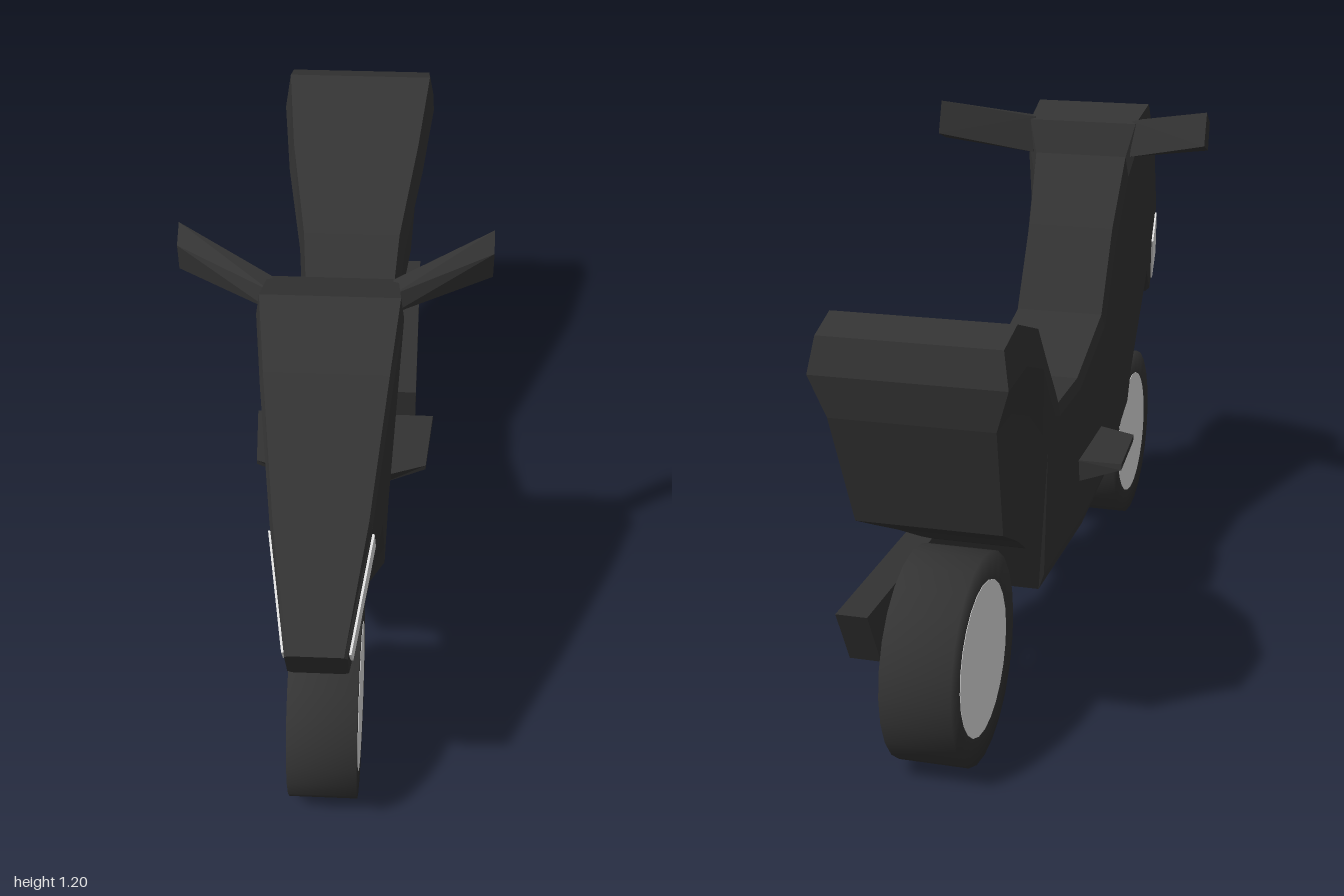
import * as THREE from 'three';

const darkPlastic = new THREE.MeshStandardMaterial({ color: 0x333333 });
darkPlastic.name = 'darkPlastic';
const paleGrey = new THREE.MeshStandardMaterial({ color: 0xdedede });
paleGrey.name = 'paleGrey';

// Flat-shaded solid through a list of equal-length rings, closed at both ends
function loft(rings) {
  const tris = [];
  const quad = (a, b, c, d) => tris.push([a, b, c], [a, c, d]);
  const n = rings[0].length;
  for (let r = 0; r < rings.length - 1; r++) {
    for (let i = 0; i < n; i++) {
      const j = (i + 1) % n;
      quad(rings[r][i], rings[r][j], rings[r + 1][j], rings[r + 1][i]);
    }
  }
  const first = rings[0], last = rings[rings.length - 1];
  for (let i = 0; i < n / 2 - 1; i++) {
    quad(first[n - 1 - i], first[n - 2 - i], first[i + 1], first[i]);
    quad(last[i], last[i + 1], last[n - 2 - i], last[n - 1 - i]);
  }
  // turn the faces outward whatever the ring direction
  let volume = 0;
  for (const [a, b, c] of tris) volume += a.dot(b.clone().cross(c));
  if (volume < 0) tris.forEach((t) => t.reverse());
  const geo = new THREE.BufferGeometry().setFromPoints(tris.flat());
  geo.computeVertexNormals();
  return geo;
}

const ring = (s, pts) => pts.map(([x, y, z]) => new THREE.Vector3(s * x, y, z));

// Mirrored eight-sided ring from a top and a bottom edge with two creases between
function bodyRing([zt, yt], [zb, yb], widths, creases, bulge = 0) {
  const { lerp } = THREE.MathUtils;
  const [wt, wu, wl, wb] = widths;
  const crease = (w, f) => [w, lerp(yt, yb, f), lerp(zt, zb, f) - bulge];
  const side = [[wt, yt, zt], crease(wu, creases[0]), crease(wl, creases[1]), [wb, yb, zb]];
  return [...ring(1, side), ...ring(-1, side).reverse()];
}

// Nose, leg shield and floor: top z, y; bottom z, y; flank and bottom half widths
const frontRings = [
  [1.0, 0.665, 0.93, 0.555, 0.062, 0.052],
  [0.82, 0.86, 0.7, 0.64, 0.102, 0.075],
  [0.62, 1.07, 0.63, 0.665, 0.133, 0.085],
  [0.49, 1.17, 0.5, 0.49, 0.15, 0.083],
  [0.37, 1.14, 0.45, 0.42, 0.142, 0.083],
  [0.35, 1.06, 0.41, 0.345, 0.122, 0.083],
  [0.25, 0.9, 0.36, 0.32, 0.113, 0.09],
  [0.14, 0.71, 0.27, 0.27, 0.113, 0.1],
  [-0.12, 0.63, -0.06, 0.24, 0.117, 0.108],
  [-0.3, 0.63, -0.46, 0.245, 0.118, 0.108],
].map(([zt, yt, zb, yb, w, wb]) =>
  bodyRing([zt, yt], [zb, yb], [w - 0.007, w, Math.min(w, 0.117), wb], [0.07, 0.92]));

// Seat and flared tail: top z, y; bottom z, y; top and bottom half widths
const tailRings = [
  [-0.34, 0.68, -0.55, 0.38, 0.112, 0.105],
  [-0.44, 0.77, -0.6, 0.405, 0.122, 0.115],
  [-0.66, 0.91, -0.7, 0.46, 0.162, 0.132],
  [-0.9, 0.99, -0.8, 0.51, 0.187, 0.148],
  [-0.985, 0.965, -0.89, 0.555, 0.185, 0.153],
].map(([zt, yt, zb, yb, wt, wb], i, all) =>
  bodyRing([zt, yt], [zb, yb], [wt, wt + 0.013, wb + 0.015, wb], [0.18, 0.4],
    i === all.length - 1 ? 0.033 : 0));

// Point on the nose flank: u runs back from the tip, v runs down between the creases
function nosePoint(s, u, v, lift) {
  const [a, b] = frontRings;
  const p = a[1].clone().lerp(b[1], u).lerp(a[2].clone().lerp(b[2], u), v);
  p.x = s * (p.x + lift);
  return p;
}

export function createModel() {
  const model = new THREE.Group();
  const add = (name, geo, mat, parent = model) => {
    const mesh = new THREE.Mesh(geo, mat);
    mesh.name = name;
    parent.add(mesh);
  };

  add('body', loft([...frontRings, ...tailRings]), darkPlastic);

  // Wheels: softly shaded tyre with flat hub discs
  const tyreProfile = [[0.16, -0.075], [0.225, -0.075], [0.225, 0.075], [0.16, 0.075]]
    .map(([r, h]) => new THREE.Vector2(r, h));
  for (const [name, z] of [['frontWheel', 0.655], ['rearWheel', -0.775]]) {
    const wheel = new THREE.Group();
    wheel.name = name;
    wheel.position.set(0, 0.225, z);
    wheel.rotation.z = Math.PI / 2;
    add('tyre', new THREE.LatheGeometry(tyreProfile, 24), darkPlastic, wheel);
    add('hub', new THREE.CylinderGeometry(0.165, 0.165, 0.152, 24), paleGrey, wheel);
    model.add(wheel);
  }

  for (const [side, s] of [['left', 1], ['right', -1]]) {
    // Swept-back handlebar
    add(side + 'Handlebar', loft([
      ring(s, [[0.125, 1.145, 0.38], [0.125, 1.06, 0.355], [0.125, 1.1, 0.44], [0.125, 1.14, 0.43]]),
      ring(s, [[0.333, 1.197, 0.257], [0.333, 1.12, 0.23], [0.333, 1.1, 0.285], [0.333, 1.165, 0.3]]),
    ]), darkPlastic);

    // Wedge-shaped foot rest
    add(side + 'FootRest', loft([
      ring(s, [[0.105, 0.43, 0.12], [0.105, 0.43, -0.13], [0.105, 0.37, -0.12], [0.105, 0.37, 0.07]]),
      ring(s, [[0.205, 0.43, 0.075], [0.22, 0.43, -0.13], [0.22, 0.415, -0.13], [0.205, 0.415, 0.07]]),
    ]), darkPlastic);

    // Thin headlight plate on the nose flank
    const corners = [[0.04, 0.05], [0.97, 0.12], [1, 0.53], [0.08, 0.76]];
    add(side + 'Headlight', loft([0, 0.005].map((lift) =>
      corners.map(([u, v]) => nosePoint(s, u, v, lift)))), paleGrey);
  }

  // Exhaust box on the left only
  add('exhaust', loft([0.108, 0.175].map((x) =>
    ring(1, [[x, 0.38, -0.3], [x, 0.38, -0.96], [x, 0.25, -0.89], [x, 0.25, -0.33]]))), darkPlastic);

  return model;
}
